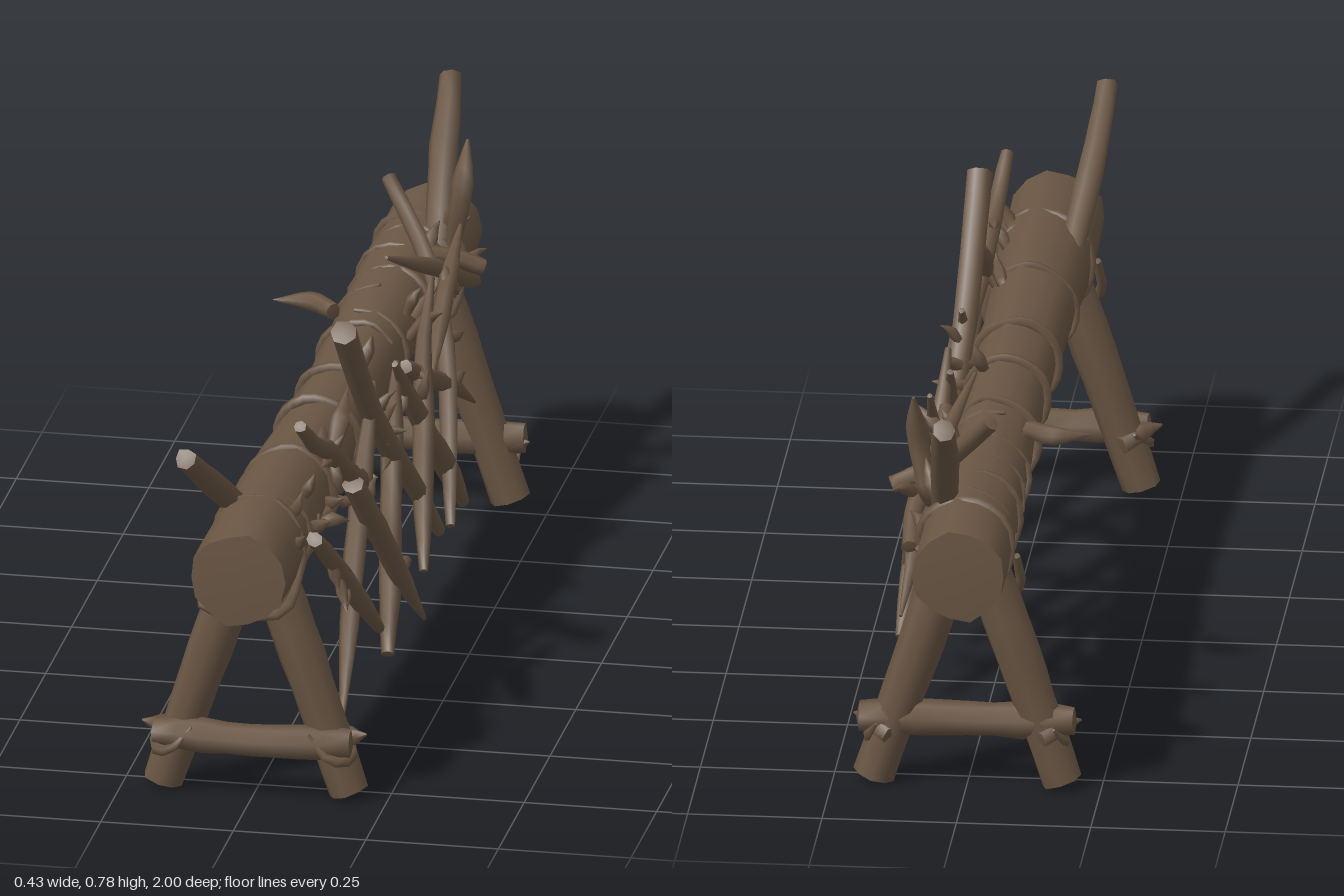
import * as THREE from 'three';

const bark = new THREE.MeshStandardMaterial({ color: 0x6a5644 });
bark.name = 'dark bark';

// small seeded generator
let seed = 11;
const rnd = () => ((seed = (seed * 16807) % 2147483647) / 2147483647);
const range = (a, b) => a + (b - a) * rnd();
const V = (x, y, z) => new THREE.Vector3(x, y, z);

// Gnarled limb: points on a smooth path, radii along it, capped at both ends
function limb(points, radii, { sides = 7, steps = 8, rough = 0.1, dome = 0.15 } = {}) {
  const curve = new THREE.CatmullRomCurve3(points);
  const frames = curve.computeFrenetFrames(steps);
  const pos = [], index = [], rings = [];
  const ridge = Array.from({ length: sides }, () => range(1 - rough, 1 + rough));
  for (let k = 0; k <= steps; k++) {
    const c = curve.getPointAt(k / steps), ring = [];
    const f = (k / steps) * (radii.length - 1), i = Math.min(Math.floor(f), radii.length - 2);
    const r = THREE.MathUtils.lerp(radii[i], radii[i + 1], f - i);
    for (let j = 0; j < sides; j++) {
      const a = (j / sides) * Math.PI * 2, q = r * ridge[j] * range(1 - rough / 2, 1 + rough / 2);
      ring.push(c.clone().addScaledVector(frames.normals[k], Math.cos(a) * q)
        .addScaledVector(frames.binormals[k], Math.sin(a) * q));
    }
    rings.push(ring);
    ring.forEach((p) => pos.push(p.x, p.y, p.z));
  }
  for (let k = 0; k < steps; k++) for (let j = 0; j < sides; j++) {
    const a = k * sides + j, b = k * sides + (j + 1) % sides;
    index.push(a, b, a + sides, b, b + sides, a + sides);
  }
  // separate cap vertices keep the cut ends crisp
  for (const [k, dir] of [[0, -1], [steps, 1]]) {
    const base = pos.length / 3;
    const c = curve.getPointAt(k / steps)
      .addScaledVector(frames.tangents[k], dir * dome * radii[k ? radii.length - 1 : 0]);
    pos.push(c.x, c.y, c.z);
    rings[k].forEach((p) => pos.push(p.x, p.y, p.z));
    for (let j = 0; j < sides; j++) {
      const a = base + 1 + j, b = base + 1 + (j + 1) % sides;
      index.push(base, ...(dir > 0 ? [a, b] : [b, a]));
    }
  }
  const geo = new THREE.BufferGeometry();
  geo.setAttribute('position', new THREE.Float32BufferAttribute(pos, 3));
  geo.setIndex(index);
  geo.computeVertexNormals();
  return geo;
}

export function createModel() {
  seed = 11;
  const model = new THREE.Group();
  model.name = 'logBarrier';
  const add = (name, geo, parent = model) => {
    const m = new THREE.Mesh(geo, bark);
    m.name = name;
    parent.add(m);
    return m;
  };

  // main log
  add('log', limb([V(-0.002, 0.473, 0.95), V(-0.002, 0.475, 0.5), V(0, 0.47, 0), V(-0.002, 0.475, -0.5), V(-0.002, 0.47, -0.967)],
    [0.091, 0.092, 0.084, 0.077, 0.074, 0.076, 0.082, 0.088, 0.088], { sides: 14, steps: 22, rough: 0.05, dome: 0.06 }));

  // A-frame trestles
  for (const [name, z, barZ, barY, half] of [['frontTrestle', 0.785, 0.815, 0.11, 0.185], ['rearTrestle', -0.79, -0.8, 0.124, 0.2]]) {
    const g = new THREE.Group();
    g.name = name;
    model.add(g);
    for (const s of [-1, 1]) {
      add('leg', limb([V(0.176 * s, 0.01, z), V(0.112 * s, 0.2, z), V(0.035 * s, 0.43, z)],
        [0.038, 0.039, 0.044, 0.042], { sides: 8, rough: 0.07 }), g);
      // lashing splinters at the joints
      add('legLashing', limb([V(0.11 * s, 0.135, barZ + 0.025), V(0.15 * s, 0.09, barZ + 0.032),
        V(0.185 * s, 0.085, barZ), V(0.165 * s, 0.125, z - 0.045)], [0.003, 0.01, 0.012, 0.003], { sides: 5 }), g);
      add('legSplinter', limb([V(0.14 * s, 0.1, z - 0.035), V(0.18 * s, 0.118, z), V(0.212 * s, 0.127, z + 0.01)],
        [0.02, 0.024, 0.002], { sides: 5, steps: 5 }), g);
    }
    add('crossbar', limb([V(-half, barY + 0.006, barZ), V(0, barY, barZ + 0.01), V(half, barY + 0.003, barZ)],
      [0.026, 0.036, 0.031, 0.032, 0.035, 0.028], { sides: 7, dome: 0.2 }), g);
    add('topLashing', limb([V(-0.092, 0.45, z), V(-0.092, 0.372, z + 0.038), V(-0.02, 0.362, z + 0.046),
      V(0.06, 0.37, z + 0.04), V(0.09, 0.46, z)], [0.008, 0.011, 0.009, 0.011, 0.008], { sides: 5, steps: 12 }), g);
  }

  // upright prongs at both ends
  add('frontProng', limb([V(-0.092, 0.722, 0.99), V(-0.08, 0.63, 0.84), V(-0.055, 0.51, 0.66)],
    [0.021, 0.024, 0.026, 0.024]));
  add('rearProng', limb([V(0.025, 0.765, -0.982), V(0.035, 0.65, -0.85), V(0.05, 0.49, -0.7)],
    [0.022, 0.029, 0.028, 0.026]));
  add('curvedProng', limb([V(0.105, 0.735, -0.735), V(0.1, 0.64, -0.7), V(0.08, 0.53, -0.72)],
    [0.003, 0.022, 0.02, 0.014]));

  // lattice of stakes on the left side: z, y at both ends, radii, x of the low end, inward tilt of the top
  const stakes = [
    [0.65, 0.08, 0.15, 0.58, [0.003, 0.017, 0.02, 0.02, 0.006], 0.135, 0],
    [0.38, 0.18, 0.78, 0.5, [0.01, 0.022, 0.02, 0.016], 0.155, 0],
    [0.3, 0.1, -0.07, 0.54, [0.012, 0.021, 0.019, 0.02, 0.006], 0.155, 0],
    [0.1, 0.1, 0.43, 0.48, [0.004, 0.019, 0.022, 0.02], 0.185, 0],
    [-0.15, 0.18, 0.39, 0.765, [0.012, 0.02, 0.022, 0.024, 0.025], 0.165, 0.006],
    [0.04, 0.17, -0.36, 0.6, [0.008, 0.02, 0.02, 0.016, 0.005], 0.172, 0],
    [-0.23, 0.16, -0.68, 0.67, [0.01, 0.02, 0.02, 0.018, 0.015], 0.17, 0.135],
    [-0.41, 0.14, 0.0, 0.56, [0.01, 0.021, 0.019, 0.018, 0.006], 0.16, 0],
    [-0.62, 0.26, -0.15, 0.5, [0.003, 0.018, 0.02, 0.014], 0.14, 0],
    [-0.34, 0.64, -0.76, 0.45, [0.004, 0.017, 0.02, 0.016], 0.11, 0.1],
    [0.7, 0.69, 0.36, 0.46, [0.012, 0.018, 0.022, 0.018], 0.115, 0.03],
    [-0.3, 0.42, -0.64, 0.6, [0.004, 0.015, 0.017, 0.004], 0.12, 0],
  ];
  const lattice = new THREE.Group();
  lattice.name = 'stakeLattice';
  model.add(lattice);
  // thorn: short curved spike from a point along a direction
  const thorn = (p, d, len, r, parent) => {
    const mid = p.clone().addScaledVector(d, len * 0.5).add(V(0, range(-0.012, 0.012), range(-0.015, 0.015)));
    add('thorn', limb([p, mid, p.clone().addScaledVector(d, len)], [r * 0.7, r, 0.001],
      { sides: 5, steps: 4, rough: 0.15 }), parent);
  };
  stakes.forEach(([z0, y0, z1, y1, radii, foot, tilt], i) => {
    const low = Math.min(y0, y1);
    const at = (t) => {
      const y = y0 + (y1 - y0) * t;
      const flare = Math.max(0, (0.5 - y) / (0.5 - low));
      return V(0.1 + (i % 2) * 0.01 * (1 - flare) + (foot - 0.1) * flare - tilt * Math.max(0, (y - 0.5) / 0.17),
        y, z0 + (z1 - z0) * t);
    };
    const path = [0, 0.25, 0.5, 0.75, 1].map((t) =>
      at(t).add(V(0, t % 1 ? range(-0.007, 0.007) : 0, t % 1 ? range(-0.007, 0.007) : 0)));
    add('stake', limb(path, radii, { rough: 0.14, steps: 10 }), lattice);
    for (let n = 0; n < 3; n++)
      thorn(at(range(0.3, 0.85)), V(range(-0.2, 0.2), range(-0.8, 0.9), range(-0.9, 0.9)).normalize(),
        range(0.05, 0.08), 0.012, lattice);
  });

  // side spikes
  add('rightSpike', limb([V(-0.07, 0.53, -0.33), V(-0.12, 0.532, -0.37), V(-0.19, 0.534, -0.36)], [0.016, 0.018, 0.001]));
  add('leftPeg', limb([V(0.06, 0.555, -0.6), V(0.11, 0.54, -0.62), V(0.155, 0.522, -0.63)], [0.016, 0.018, 0.016]));
  add('topLeaf', limb([V(0.08, 0.545, 0.45), V(0.085, 0.59, 0.41), V(0.09, 0.64, 0.35)], [0.012, 0.022, 0.002], { sides: 5 }));

  // vines wound around the log: [start z, end z, turns]
  const vines = [[0.74, 0.7, 1.1], [0.82, 0.62, 1.3], [0.48, 0.45, 1.1], [0.19, 0.17, 1.1], [0.02, -0.04, 1.1],
    [-0.22, -0.3, 1.2], [-0.42, -0.55, 1.3], [-0.62, -0.76, 1.4], [-0.72, -0.84, 1.2]];
  for (const [z0, z1, turns] of vines) {
    const pts = [], start = range(0, 6.28);
    for (let i = 0; i <= 12; i++) {
      const t = i / 12, a = start + t * turns * Math.PI * 2;
      const r = 0.074 + 0.017 * Math.abs(z0) + range(-0.003, 0.004);
      pts.push(V(Math.cos(a) * r, 0.472 + Math.sin(a) * r, z0 + (z1 - z0) * t));
    }
    add('vine', limb(pts, [0.004, 0.01, 0.011, 0.009, 0.004], { sides: 5, steps: 26 }));
  }

  // thorns and splinters on the upper left face of the log
  for (const [lo, hi, n] of [[0.38, 0.78, 9], [-0.1, 0.3, 4], [-0.8, -0.25, 13]])
    for (let i = 0; i < n; i++) {
      const a = range(-0.6, 1.1), z = lo + (hi - lo) * (i + rnd()) / n;
      const d = V(Math.cos(a) * 0.4, Math.sin(a) * 0.6 + 0.2, range(-0.9, 0.9)).normalize();
      thorn(V(Math.cos(a) * 0.078, 0.47 + Math.sin(a) * 0.078, z), d, range(0.06, 0.1), 0.014, model);
    }
  return model;
}
